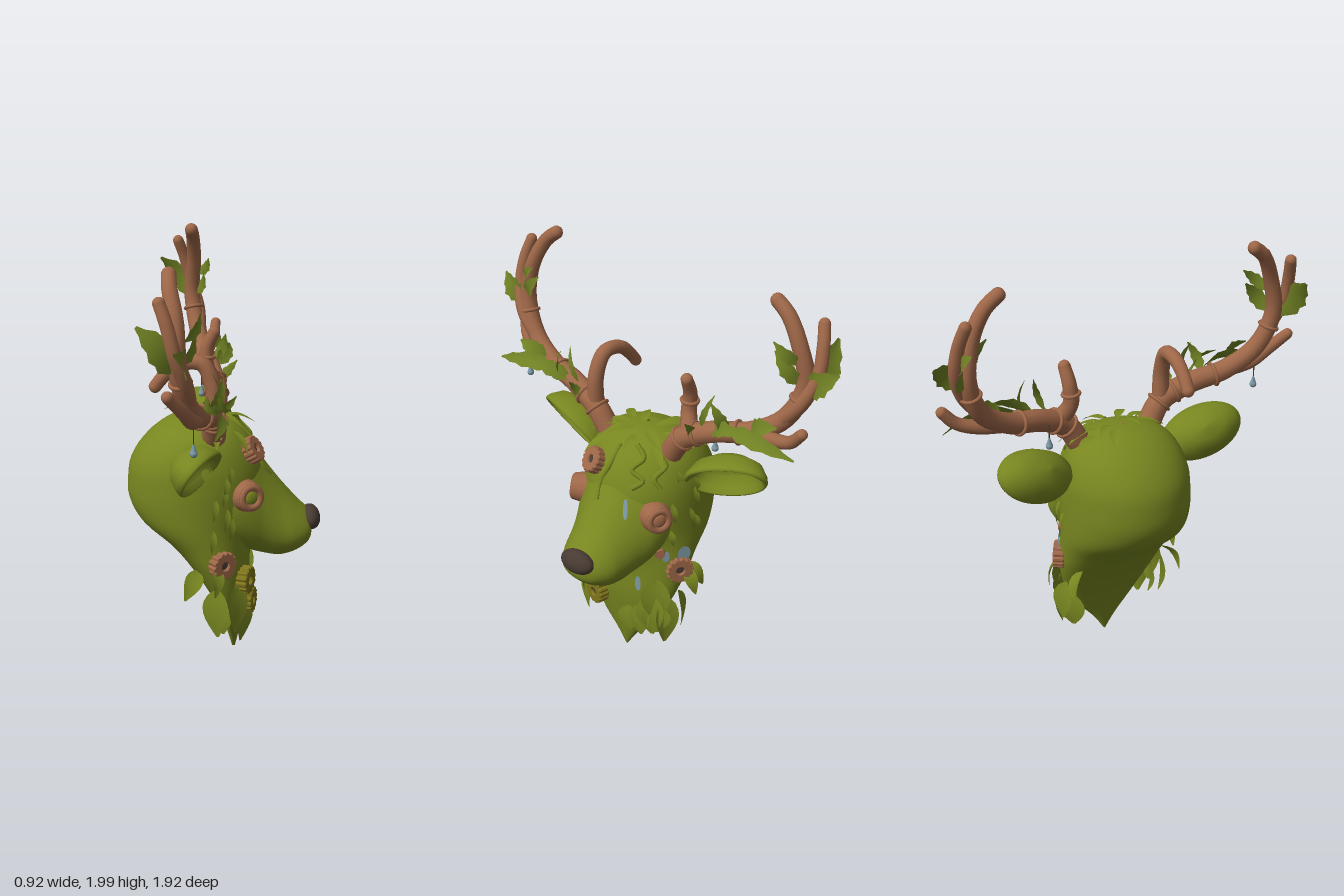
import * as THREE from 'three';

const V = (x, y, z) => new THREE.Vector3(x, y, z);
const mat = (name, color, side = THREE.FrontSide) => {
  const m = new THREE.MeshStandardMaterial({ color, side });
  m.name = name;
  return m;
};

export function createModel() {
  const group = new THREE.Group();
  const moss = mat('moss green', 0x788620, THREE.DoubleSide);
  const leafMat = mat('leaf green', 0x6f8023, THREE.DoubleSide);
  const wood = mat('wood brown', 0x9e6748);
  const dark = mat('dark brown', 0x473a33);
  const mustard = mat('mustard', 0x7f741c);
  const blue = mat('pale blue', 0x7d9aa6, THREE.DoubleSide);
  let seed = 7;
  const rnd = () => ((seed = (seed * 16807) % 2147483647) / 2147483647);

  const add = (name, geo, m, pos, parent = group) => {
    const mesh = new THREE.Mesh(geo, m);
    mesh.name = name;
    if (pos) mesh.position.copy(pos);
    parent.add(mesh);
    return mesh;
  };

  // Smooth loft through rows of [station, low, high, half width]; pear widens the low side
  function loft(rows, place, pear = 0, steps = 48, n = 48) {
    const lo = new THREE.CatmullRomCurve3(rows.map(r => V(r[1], r[0], 0)), false, 'catmullrom');
    const hi = new THREE.CatmullRomCurve3(rows.map(r => V(r[2], r[0], r[3])), false, 'catmullrom');
    const pos = [], idx = [];
    for (let i = 0; i <= steps; i++) {
      const a = lo.getPoint(i / steps), b = hi.getPoint(i / steps);
      for (let j = 0; j < n; j++) {
        const t = (j / n) * Math.PI * 2, c = Math.cos(t);
        pos.push(...place(a.y, (a.x + b.x) / 2 + ((b.x - a.x) / 2) * c, b.z * Math.sin(t) * (1 - pear * c)));
        if (i < steps) {
          const k = i * n + j, l = i * n + ((j + 1) % n);
          idx.push(k, k + n, l, l, k + n, l + n);
        }
      }
    }
    const g = new THREE.BufferGeometry();
    g.setAttribute('position', new THREE.Float32BufferAttribute(pos, 3));
    g.setIndex(idx);
    g.computeVertexNormals();
    return g;
  }

  // Skull and pointed neck, then muzzle
  const skull = add('skullAndNeck', loft([
    [0.01, 0.035, 0.05, 0.004], [0.1, 0.01, 0.07, 0.065], [0.2, -0.02, 0.09, 0.15],
    [0.35, -0.09, 0.115, 0.24], [0.5, -0.19, 0.12, 0.285], [0.6, -0.28, 0.13, 0.295],
    [0.7, -0.4, 0.15, 0.303], [0.8, -0.455, 0.18, 0.305], [0.9, -0.46, 0.19, 0.305],
    [1.0, -0.44, 0.17, 0.297], [1.1, -0.37, 0.12, 0.26], [1.17, -0.28, 0.05, 0.19],
    [1.205, -0.19, -0.04, 0.09], [1.212, -0.13, -0.11, 0.005]],
    (y, x, z) => [x, y, z]), moss);
  const muzzle = add('muzzle', loft([
    [-0.05, 0.62, 1.16, 0.25], [0.05, 0.57, 1.13, 0.25], [0.12, 0.54, 1.06, 0.23], [0.19, 0.52, 0.965, 0.195],
    [0.26, 0.51, 0.875, 0.17], [0.33, 0.53, 0.795, 0.15], [0.385, 0.565, 0.74, 0.115],
    [0.41, 0.6, 0.71, 0.075], [0.415, 0.65, 0.66, 0.005]],
    (x, y, z) => [x, y, -z], 0.17), moss);
  const nose = add('nose', new THREE.SphereGeometry(1, 28, 18), dark, V(0.41, 0.69, 0));
  nose.scale.set(0.046, 0.057, 0.092);
  nose.rotation.z = 0.25;

  // Finds a point and normal on the head by casting a ray
  const caster = new THREE.Raycaster();
  function onHead(from, dir) {
    caster.set(from, dir.clone().normalize());
    const h = caster.intersectObjects([skull, muzzle])[0];
    return h ? { p: h.point, n: h.face.normal.clone() } : { p: from, n: dir.clone().negate() };
  }
  const fromFront = (y, z) => onHead(V(2, y, z), V(-1, 0, 0));
  const around = (y, a) => onHead(V(-0.02 + 2 * Math.cos(a), y, 2 * Math.sin(a)), V(-Math.cos(a), 0, -Math.sin(a)));

  // Curved leaf: starts at base, runs along dir, faces normal
  function leaf(name, m, base, dir, normal, len, width, curl = 0.15, notch = 0) {
    const g = new THREE.PlaneGeometry(1, 1, 2, 8).translate(0, 0.5, 0);
    const p = g.attributes.position;
    for (let i = 0; i < p.count; i++) {
      const t = p.getY(i), s = p.getX(i) * 2;
      const w = width * 0.5 * (0.12 + Math.sin(Math.PI * Math.pow(t, 0.75))) * (1 - t * 0.12)
        * (1 - notch * (Math.round(t * 8) % 2));
      p.setXYZ(i, s * w, t * len, len * curl * Math.sin(t * Math.PI) + Math.abs(s) * w * 0.25);
    }
    g.computeVertexNormals();
    const mesh = add(name, g, m, base);
    const y = dir.clone().normalize();
    const x = y.clone().cross(normal).normalize();
    mesh.quaternion.setFromRotationMatrix(new THREE.Matrix4().makeBasis(x, y, x.clone().cross(y)));
  }

  // Ears: deep cupped lathe shells, tipped forward, with a thick rounded rim
  const cup = [[0.001, -0.1], [0.45, -0.088], [0.8, -0.05], [0.97, 0.005], [1, 0.028], [0.97, 0.04], [0.91, 0.038],
    [0.84, 0.01], [0.68, -0.04], [0.4, -0.066], [0.001, -0.075]].map(p => new THREE.Vector2(...p));
  for (const s of [1, -1]) {
    const ear = new THREE.Group();
    ear.name = s > 0 ? 'earPositiveZ' : 'earNegativeZ';
    ear.position.set(-0.125, 1.07, s * 0.45);
    ear.rotation.set(-s * 0.3, -s * 0.18, -0.68);
    const shell = add('earCup', new THREE.LatheGeometry(cup, 40), moss, null, ear);
    shell.rotation.z = -Math.PI / 2;
    shell.scale.set(0.128, 1, 0.21);
    group.add(ear);
  }

  // Round button eyes
  for (const s of [1, -1]) {
    const eye = new THREE.Group();
    eye.name = s > 0 ? 'eyePositiveZ' : 'eyeNegativeZ';
    eye.position.set(0.105, 0.87, s * 0.225);
    eye.quaternion.setFromUnitVectors(V(0, 0, 1), V(0.5, 0.08, s * 0.86).normalize());
    add('eyeBase', new THREE.CylinderGeometry(0.066, 0.08, 0.08, 28).rotateX(Math.PI / 2), wood, null, eye);
    add('eyeRim', new THREE.TorusGeometry(0.048, 0.018, 10, 28), wood, V(0, 0, 0.036), eye);
    add('pupil', new THREE.SphereGeometry(0.032, 16, 10).scale(1, 1, 0.35), s > 0 ? moss : wood, V(0, 0, 0.04), eye);
    group.add(eye);
  }

  // Toothed flowers with a dark hollow centre
  const keepClear = [];
  function flower(at, normal, r, m) {
    const f = new THREE.Group();
    f.name = 'flower';
    f.position.copy(at);
    f.quaternion.setFromUnitVectors(V(0, 0, 1), normal.clone().normalize());
    const shape = new THREE.Shape();
    for (let i = 0; i < 56; i++) {
      const a = (i / 56) * Math.PI * 2, q = r * (i % 4 < 2 ? 1 : 0.9);
      shape[i ? 'lineTo' : 'moveTo'](q * Math.cos(a), q * Math.sin(a));
    }
    shape.holes.push(new THREE.Path().absarc(0, 0, r * 0.38, 0, Math.PI * 2, true));
    add('petals', new THREE.ExtrudeGeometry(shape, { depth: 0.042, bevelEnabled: true, bevelSize: 0.004,
      bevelThickness: 0.006, bevelSegments: 1, curveSegments: 16 }), m, V(0, 0, -0.016), f);
    add('flowerCentre', new THREE.CylinderGeometry(r * 0.41, r * 0.41, 0.04, 18).rotateX(Math.PI / 2), dark, V(0, 0, -0.002), f);
    group.add(f);
    keepClear.push(at);
  }
  flower(V(0.125, 1.06, 0.125), V(0.75, 0.5, 0.3), 0.06, wood);
  flower(V(-0.01, 0.55, 0.275), V(0.6, 0, 0.8), 0.063, wood);
  flower(V(-0.01, 0.55, -0.275), V(0.6, 0, -0.8), 0.063, wood);
  flower(V(0.095, 0.44, 0.185), V(0.9, 0, 0.35), 0.064, mustard);
  flower(V(0.11, 0.315, 0.13), V(0.95, 0, 0.25), 0.06, mustard);
  const bud = fromFront(0.65, -0.215);
  add('bud', new THREE.CylinderGeometry(0.024, 0.03, 0.04, 16).rotateX(Math.PI / 2), wood, bud.p)
    .quaternion.setFromUnitVectors(V(0, 0, 1), bud.n);
  keepClear.push(bud.p);

  // Pale dew patches
  [[fromFront(0.91, -0.11), 0.011, 0.05], [fromFront(0.46, -0.12), 0.015, 0.042], [around(0.63, -1.6), 0.035, 0.04],
    [around(0.63, -1.3), 0.018, 0.03]].forEach(([q, w, h]) => {
    const d = add('dewPatch', new THREE.CircleGeometry(1, 18), blue, q.p.addScaledVector(q.n, 0.009));
    d.scale.set(w, h, 1);
    d.lookAt(q.p.clone().add(q.n));
    keepClear.push(q.p);
  });

  // Tapered branch with rounded ends
  function branch(name, pts, r0, r1) {
    const curve = new THREE.CatmullRomCurve3(pts.map(p => V(...p)));
    const n = 32, g = new THREE.TubeGeometry(curve, n, 1, 12);
    const p = g.attributes.position, v = V(0, 0, 0);
    for (let i = 0; i < p.count; i++) {
      const t = Math.floor(i / 13) / n, c = curve.getPointAt(t);
      v.fromBufferAttribute(p, i).sub(c).multiplyScalar(r0 + (r1 - r0) * t).add(c);
      p.setXYZ(i, v.x, v.y, v.z);
    }
    add(name, g, wood);
    add(name + 'Tip', new THREE.SphereGeometry(r1, 12, 8), wood, curve.getPoint(1));
    return curve;
  }
  function collar(curve, t, r) {
    const ring = add('antlerCollar', new THREE.TorusGeometry(r, 0.009, 8, 20), wood, curve.getPointAt(t));
    ring.quaternion.setFromUnitVectors(V(0, 0, 1), curve.getTangentAt(t));
  }

  // Antlers with tines, collars, leaves and hanging drops
  for (const s of [1, -1]) {
    const tip = s > 0 ? 0 : 0.045;
    const beam = branch('antlerBeam', [[-0.05, 1.14, s * 0.19], [-0.045, 1.24, s * 0.26], [-0.07, 1.305, s * 0.4],
      [-0.11, 1.35, s * 0.58], [-0.15, 1.45, s * 0.73], [-0.18, 1.62, s * 0.8], [-0.19 + tip * 0.5, 1.8, s * 0.765],
      [-0.215 + tip, 1.92, s * 0.7], [-0.22 + tip, 1.967, s * 0.64]], 0.057, 0.032);
    branch('upperTine', [[-0.14, 1.42, s * 0.7], [-0.15, 1.55, s * 0.81], [-0.19, 1.68, s * 0.855],
      [-0.22, 1.8, s * 0.85], [-0.25, 1.885, s * 0.83]], 0.037, 0.027);
    branch('lowerTine', s > 0
      ? [[-0.11, 1.35, 0.6], [-0.13, 1.37, 0.72], [-0.16, 1.43, 0.8], [-0.22, 1.51, 0.86]]
      : [[-0.11, 1.35, -0.6], [-0.09, 1.36, -0.72], [-0.07, 1.39, -0.81], [-0.06, 1.45, -0.87]], 0.038, 0.026);
    const brow = branch('browTine', s > 0
      ? [[-0.045, 1.24, 0.26], [-0.05, 1.4, 0.26], [-0.1, 1.5, 0.25], [-0.2, 1.495, 0.24], [-0.27, 1.44, 0.235], [-0.31, 1.39, 0.23]]
      : [[-0.045, 1.27, -0.29], [-0.09, 1.36, -0.255], [-0.09, 1.45, -0.26], [-0.055, 1.53, -0.265]], 0.042, 0.029);
    [[0.09, 0.055], [0.16, 0.054], [0.33, 0.051], [0.62, 0.043]].forEach(c => collar(beam, ...c));
    if (s < 0) collar(brow, 0.55, 0.038);

    const put = (p, d, n, len, w, k = 0.12) =>
      leaf('antlerLeaf', leafMat, V(p[0], p[1], s * p[2]), V(d[0], d[1], s * d[2]), V(n[0], n[1], s * n[2]), len, w, k, 0.22);
    put([-0.19, 1.6, 0.81], [-0.55, 0.7, 0.15], [0.45, 0.2, 0.85], 0.25, 0.14);
    put([-0.17, 1.6, 0.81], [-0.1, 0.5, 0.7], [1, 0.2, 0.1], 0.18, 0.12);
    put([-0.17, 1.62, 0.79], [0.25, 0.75, -0.6], [1, 0, 0.3], 0.19, 0.08);
    put([-0.15, 1.72, 0.78], [0.3, 0.5, -0.5], [0.8, 0, 0.5], 0.15, 0.06);
    put([-0.05, 1.36, 0.5], [0.05, -0.08, 0.9], [0.8, 0.6, 0], 0.36, 0.08);
    put([-0.05, 1.33, 0.42], [0.2, 0.2, 0.6], [0.7, 0.6, 0], 0.22, 0.08);
    put([-0.06, 1.34, 0.48], [0.2, 0.5, -0.15], [0.6, 0, 0.8], 0.16, 0.06);
    put([-0.08, 1.38, 0.6], [0.1, 0.25, 0.6], [0.8, 0.5, 0], 0.16, 0.09);
    put([-0.04, 1.33, 0.36], [-0.05, 0.7, 0.25], [1, 0, 0], 0.18, 0.035);
    put([-0.04, 1.28, 0.3], [0.5, 0.5, 0.2], [0.5, 0.3, 0.7], 0.14, 0.05);

    const dz = s > 0 ? 0.75 : -0.385, dy = s > 0 ? 1.235 : 1.19, top = s > 0 ? 1.37 : 1.3;
    add('dropString', new THREE.CylinderGeometry(0.003, 0.003, top - dy, 6), dark, V(-0.12, (top + dy) / 2, dz));
    add('drop', new THREE.ConeGeometry(0.017, 0.05, 8), blue, V(-0.12, dy + 0.03, dz));
    add('dropBase', new THREE.SphereGeometry(0.017, 10, 8), blue, V(-0.12, dy + 0.005, dz));
  }

  // Beard: broad hanging leaves on the neck, kept clear of the flowers
  const blocked = (p, dir, size, gap) => keepClear.some(f => [0, 0.3, 0.6, 0.9].some(t =>
    p.clone().addScaledVector(dir, size * t).distanceTo(f) < gap));
  [[0.64, 4, 1.2, 1.75, 0.2], [0.5, 5, 0.6, 1.7, 0.25], [0.42, 5, 0.5, 1.6, 0.24], [0.33, 4, 0.5, 1.5, 0.18]]
    .forEach(([y, n, from, to, len]) => {
      for (const s of [1, -1]) for (let i = 0; i < n; i++) {
        const a = s * (from + (to - from) * (i / (n - 1)));
        const h = around(y + (rnd() - 0.5) * 0.05, a), size = len * (0.8 + rnd() * 0.4);
        const dir = V(Math.cos(a) * 0.03, -1, Math.sin(a) * (rnd() * 0.15 - 0.05)).normalize();
        if (!blocked(h.p, dir, size, 0.08))
          leaf('beardLeaf', moss, h.p.addScaledVector(h.n, 0.006), dir, h.n, size, 0.09 + rnd() * 0.05, 0.05);
      }
    });
  for (const s of [1, -1]) {
    leaf('neckLeaf', moss, V(-0.12, 0.5, s * 0.22), V(-0.25, -0.5, s * 0.3), V(0, 0.2, s), 0.16, 0.08);
    leaf('neckLeaf', moss, V(-0.04, 0.55, s * 0.29), V(0, -0.8, s * 0.4), V(0.6, 0, s), 0.15, 0.06);
    // Small leaves lying on the cheeks
    for (let i = 0; i < 8; i++) {
      const h = around(0.72 + i * 0.05, s * (1.35 + rnd() * 0.5)), dir = V(-0.1, -1, s * 0.15).normalize();
      if (!blocked(h.p, dir, 0.1, 0.06)) leaf('cheekLeaf', moss, h.p, dir, h.n, 0.08 + rnd() * 0.03, 0.03, 0.12);
    }
  }

  // Leaf crown between the antlers
  for (let i = 0; i < 14; i++) {
    const a = i * 2.4 + rnd(), r = 0.03 + 0.012 * i;
    const h = onHead(V(-0.06 + r * Math.cos(a) * 0.7, 2, r * Math.sin(a)), V(0, -1, 0));
    const d = V(Math.cos(a), 0, Math.sin(a));
    leaf('crownLeaf', moss, h.p, d.addScaledVector(h.n, 0.02 - d.dot(h.n)), h.n, 0.11 + rnd() * 0.06, 0.045, 0.08);
  }

  // Moss vines on the forehead
  [[[1.17, -0.06], [1.13, -0.12], [1.08, -0.09], [1.04, -0.15], [1.0, -0.11]],
    [[1.14, -0.17], [1.1, -0.21], [1.05, -0.19], [1.0, -0.22]],
    [[1.16, 0.02], [1.07, 0.03], [0.98, 0.06], [0.92, 0.04]]].forEach(path => {
    const pts = path.map(([y, z]) => fromFront(y, z).p);
    add('vine', new THREE.TubeGeometry(new THREE.CatmullRomCurve3(pts), 28, 0.013, 6), moss);
  });

  return group;
}
